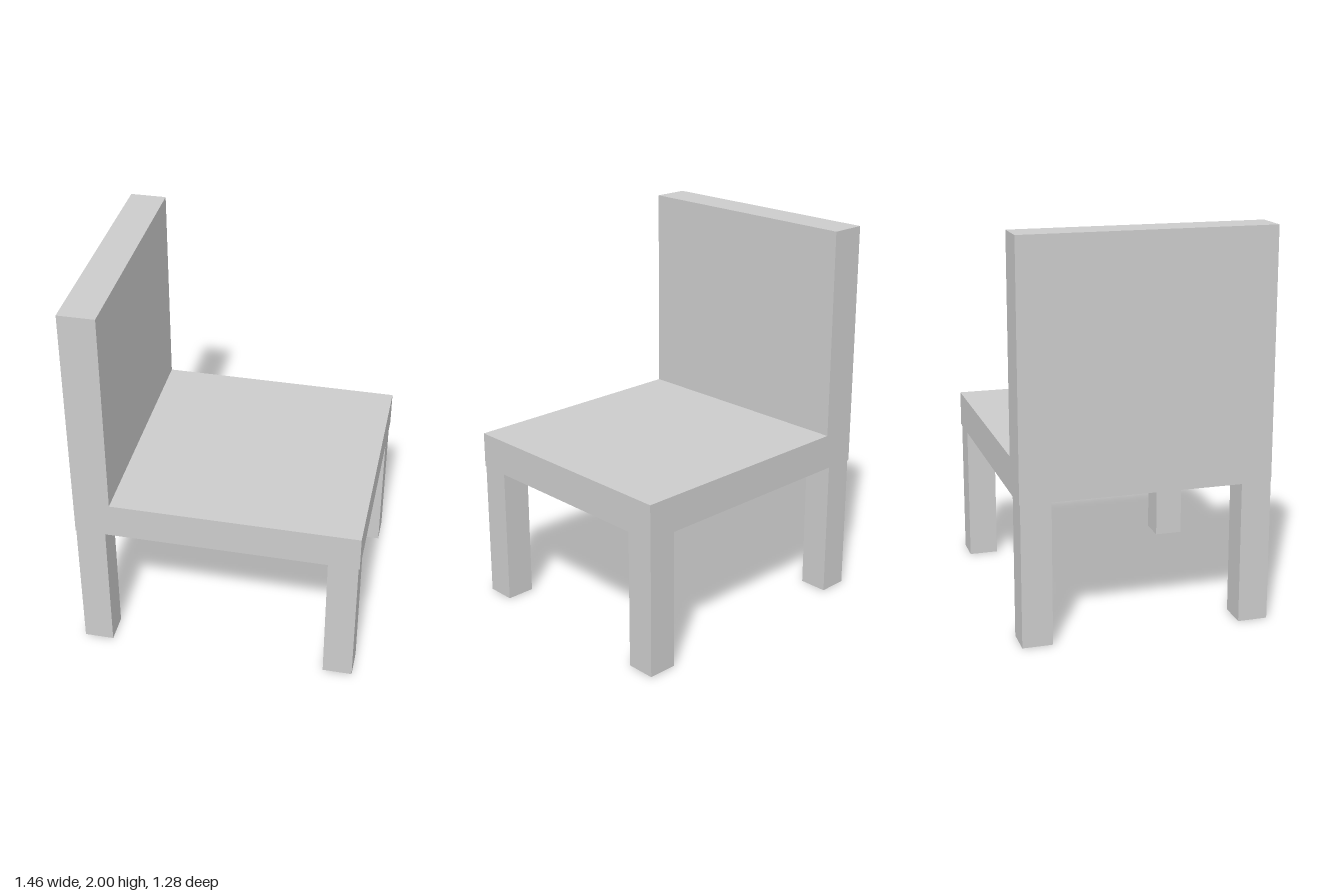
import * as THREE from 'three';

export function createModel() {
  const group = new THREE.Group();
  const material = new THREE.MeshStandardMaterial({ color: 0xcccccc, flatShading: true });
  const add = (name, geometry, x, y, z) => {
    const mesh = new THREE.Mesh(geometry, material);
    mesh.name = name;
    mesh.position.set(x, y, z);
    group.add(mesh);
  };

  // Seat and backrest: one L-shaped profile extruded across the width
  const depth = 1.276;
  const profile = new THREE.Shape([
    [-0.73, 0.73], [0.727, 0.73], [0.727, 0.916],
    [-0.543, 0.916], [-0.543, 2], [-0.73, 2],
  ].map(([x, y]) => new THREE.Vector2(x, y)));
  add('seatAndBackrest',
    new THREE.ExtrudeGeometry(profile, { depth, bevelEnabled: false }), 0, 0, -depth / 2);

  // Four square legs under the corners
  const legHeight = 0.73;
  const leg = new THREE.BoxGeometry(0.153, legHeight, 0.153);
  for (const [side, x] of [['backrest', -0.65], ['open', 0.645]]) {
    for (const [end, z] of [['Front', 0.561], ['Rear', -0.557]]) {
      add(`${side}Side${end}Leg`, leg, x, legHeight / 2, z);
    }
  }
  return group;
}
